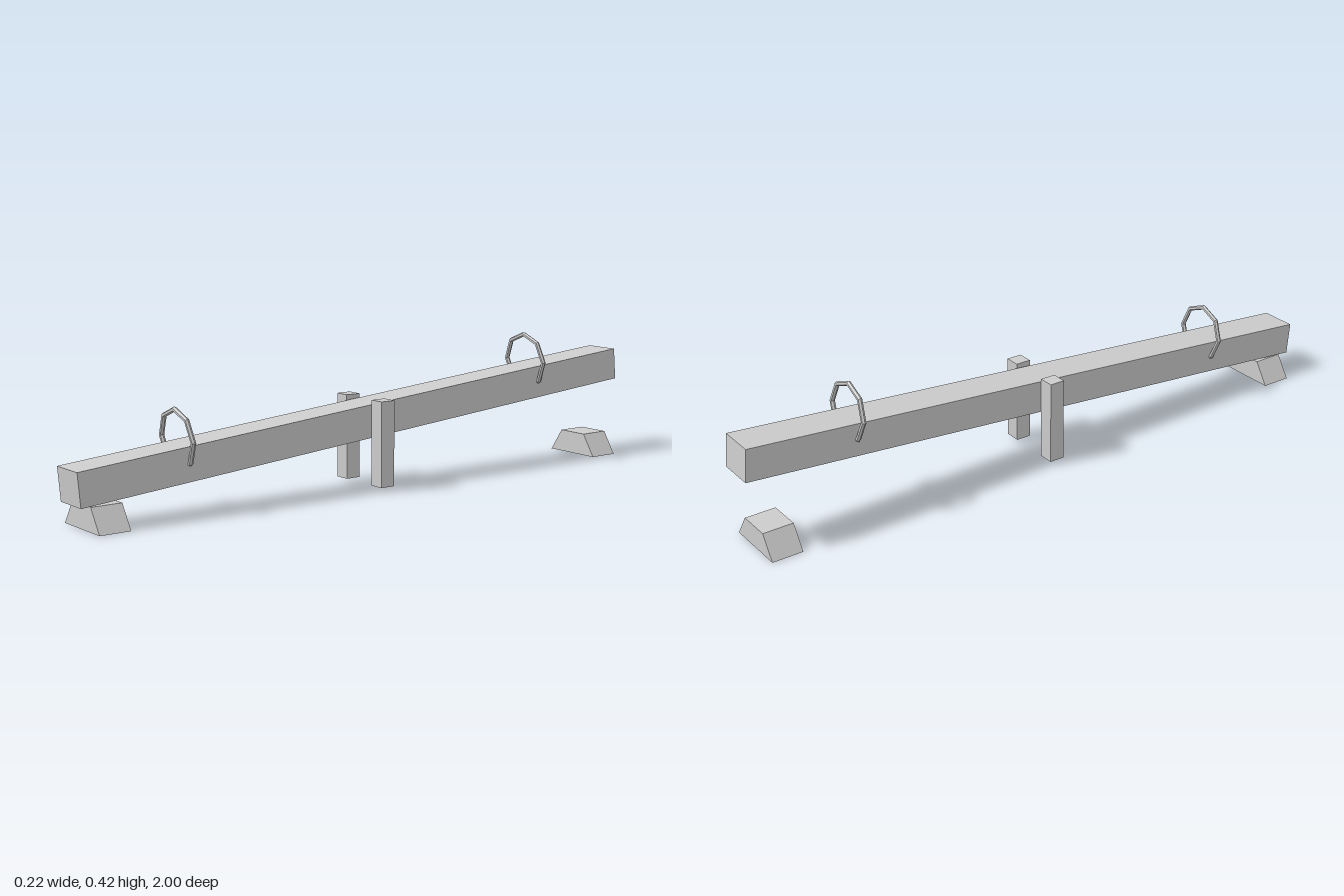
import * as THREE from 'three';

const material = new THREE.MeshStandardMaterial({ color: 0xcccccc, flatShading: true });

function add(parent, name, geometry, x, y, z) {
  const mesh = new THREE.Mesh(geometry, material);
  mesh.name = name;
  mesh.position.set(x, y, z);
  parent.add(mesh);
  return mesh;
}

export function createModel() {
  const model = new THREE.Group();
  model.name = 'seesaw';

  // Tilted plank with its handles, dipping towards the front
  const plank = new THREE.Group();
  plank.name = 'plank';
  plank.position.y = 0.2075;
  plank.rotation.x = THREE.MathUtils.degToRad(5);
  model.add(plank);
  add(plank, 'beam', new THREE.BoxGeometry(0.114, 0.1, 1.999), 0, 0, 0);

  // Octagonal handle hoops, sunk into the beam
  const hoop = new THREE.TorusGeometry(0.0855, 0.0075, 6, 8);
  add(plank, 'frontHandle', hoop, 0, 0.064, 0.654);
  add(plank, 'backHandle', hoop, 0, 0.064, -0.654);

  // Pivot posts either side of the beam
  const post = new THREE.BoxGeometry(0.048, 0.259, 0.048);
  add(model, 'leftPost', post, 0.086, 0.1415, 0);
  add(model, 'rightPost', post, -0.086, 0.1415, 0);

  // Trapezoid stop blocks under both ends
  const profile = new THREE.Shape([
    new THREE.Vector2(-0.098, 0),
    new THREE.Vector2(0.098, 0),
    new THREE.Vector2(0.052, 0.07),
    new THREE.Vector2(-0.052, 0.07),
  ]);
  const block = new THREE.ExtrudeGeometry(profile, { depth: 0.096, bevelEnabled: false });
  block.translate(0, 0, -0.048);
  add(model, 'frontStop', block, 0, 0, 0.912);
  add(model, 'backStop', block, 0, 0, -0.912);

  return model;
}
